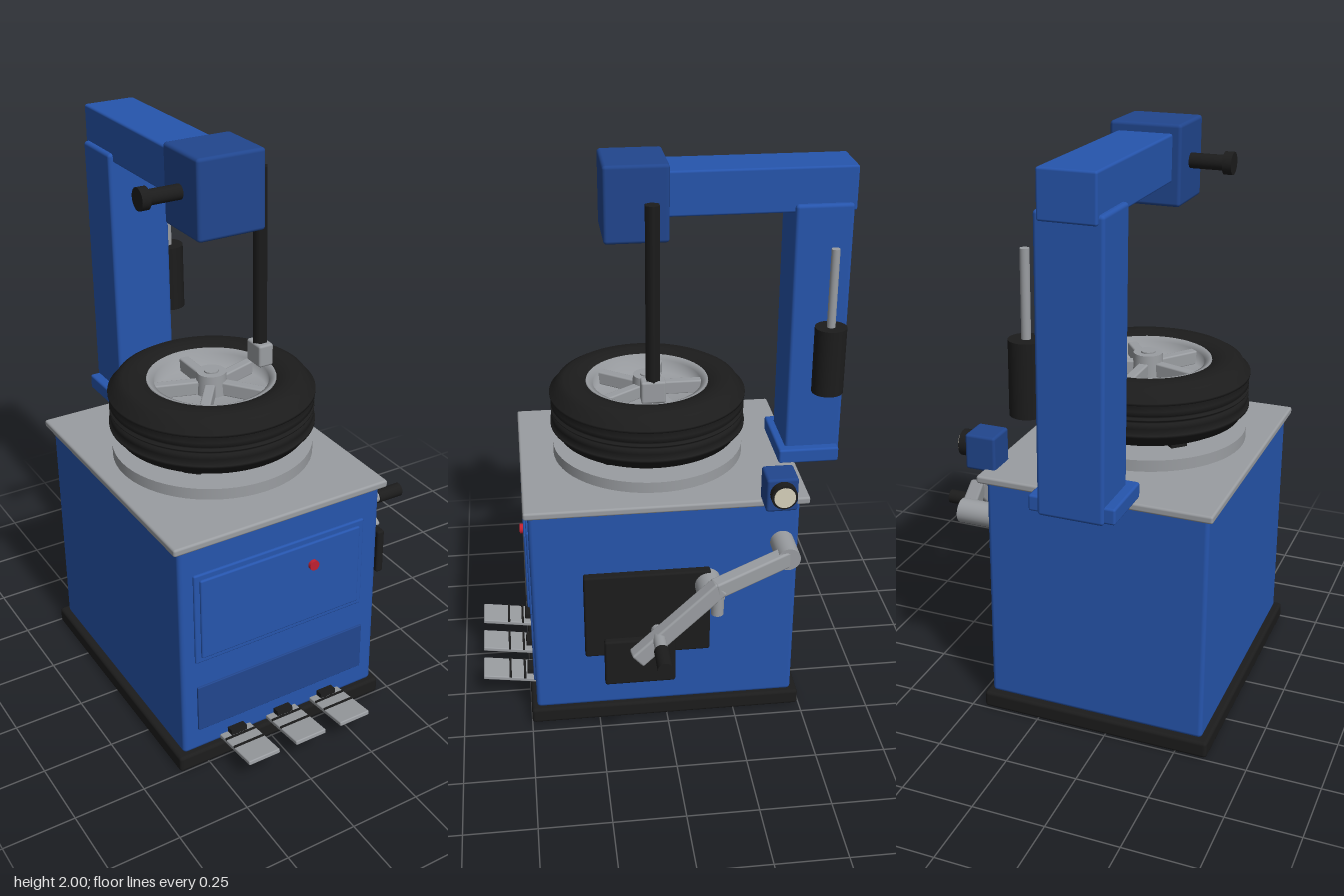
import * as THREE from 'three';
import { RoundedBoxGeometry } from 'three/addons/geometries/RoundedBoxGeometry.js';

const mat = (color, side = THREE.FrontSide) => new THREE.MeshStandardMaterial({ color, side });

export function createModel() {
  const root = new THREE.Group();
  const blue = mat(0x2655ad), deepBlue = mat(0x21468e), black = mat(0x1c1c1c);
  const steel = mat(0x9a9da1), red = mat(0xc02030), cream = mat(0xd8d2bc);
  const rubber = mat(0x1c1c1c, THREE.DoubleSide), rimSteel = mat(0x9a9da1, THREE.DoubleSide);

  const add = (name, geo, material, x = 0, y = 0, z = 0, parent = root) => {
    const m = new THREE.Mesh(geo, material);
    m.name = name;
    m.position.set(x, y, z);
    parent.add(m);
    return m;
  };
  // Box given by its extents, with slightly rounded edges
  const box = (name, material, [x0, x1], [y0, y1], [z0, z1], r = 0.008) =>
    add(name, new RoundedBoxGeometry(x1 - x0, y1 - y0, z1 - z0, 2, r), material,
      (x0 + x1) / 2, (y0 + y1) / 2, (z0 + z1) / 2);
  // Upright cylinder from y0 to y1
  const rod = (name, material, x, z, r, y0, y1, seg = 32) =>
    add(name, new THREE.CylinderGeometry(r, r, y1 - y0, seg), material, x, (y0 + y1) / 2, z);
  // Cylinder lying along x from x0 to x1
  const rodX = (name, material, y, z, r, x0, x1, seg = 32) => {
    const m = add(name, new THREE.CylinderGeometry(r, r, x1 - x0, seg), material, (x0 + x1) / 2, y, z);
    m.rotation.z = -Math.PI / 2;
    return m;
  };

  // Cabinet
  box('basePlinth', black, [-0.61, 0.205], [0, 0.06], [-0.495, 0.5], 0.012);
  box('cabinet', blue, [-0.585, 0.185], [0.055, 0.875], [-0.47, 0.48], 0.015);
  box('tableTop', steel, [-0.605, 0.207], [0.868, 0.895], [-0.5, 0.495]);
  box('upperPanelFrame', blue, [-0.535, 0.12], [0.422, 0.768], [0.47, 0.488], 0.006);
  box('upperPanel', blue, [-0.515, 0.1], [0.442, 0.748], [0.47, 0.496], 0.006);
  box('lowerPanel', deepBlue, [-0.53, 0.13], [0.14, 0.32], [0.47, 0.487], 0.003);
  const button = rod('button', red, -0.09, 0.497, 0.018, 0.652, 0.676);
  button.rotation.x = Math.PI / 2;

  // Foot pedals with grip strips
  for (const x of [-0.385, -0.2, -0.02]) {
    const pedal = new THREE.Group();
    pedal.name = 'pedal';
    pedal.position.set(x, 0.085, 0.575);
    pedal.rotation.x = -0.15;
    root.add(pedal);
    add('pedalPlate', new RoundedBoxGeometry(0.12, 0.016, 0.2, 2, 0.004), steel, 0, 0, 0, pedal);
    add('pedalStem', new THREE.BoxGeometry(0.06, 0.03, 0.05), black, 0, 0.012, -0.09, pedal);
    for (const z of [-0.055, 0])
      add('pedalGrip', new THREE.BoxGeometry(0.12, 0.006, 0.008), black, 0, 0.009, z, pedal);
  }

  // Turntable with clamps
  const cx = -0.2, cz = 0.025;
  rod('turntableShaft', steel, cx, cz, 0.12, 0.885, 0.92);
  rod('turntable', steel, cx, cz, 0.345, 0.915, 0.955, 64);
  rod('turntableHub', steel, cx, cz, 0.08, 0.95, 1.06);
  for (let i = 0; i < 4; i++) {
    const a = Math.PI / 4 + i * Math.PI / 2;
    const jaw = add('clampJaw', new RoundedBoxGeometry(0.07, 0.045, 0.06, 2, 0.005), black,
      cx + 0.22 * Math.cos(a), 0.972, cz + 0.22 * Math.sin(a));
    jaw.rotation.y = -a;
  }

  // Wheel: tyre, rim, spokes, hub
  const wheel = new THREE.Group();
  wheel.name = 'wheel';
  wheel.position.set(cx, 1.095, cz);
  root.add(wheel);
  const half = [[0.212, 0.085], [0.225, 0.1], [0.26, 0.11], [0.3, 0.108], [0.325, 0.094],
    [0.338, 0.07], [0.352, 0.06], [0.352, 0.052], [0.342, 0.048], [0.348, 0.03], [0.348, 0.016],
    [0.34, 0.012], [0.34, 0.006], [0.349, 0.002]];
  const tyreProfile = [...half.map(([r, y]) => [r, -y]), ...half.slice().reverse(), half[0].map((v, i) => i ? -v : v)];
  add('tyre', new THREE.LatheGeometry(tyreProfile.map(p => new THREE.Vector2(...p)), 72), rubber, 0, 0, 0, wheel);
  const rimProfile = [[0, -0.08], [0.19, -0.08], [0.22, -0.098], [0.222, -0.09], [0.205, -0.06],
    [0.205, 0.06], [0.222, 0.09], [0.218, 0.1], [0.195, 0.088], [0.19, 0.04], [0, 0.04]];
  add('rim', new THREE.LatheGeometry(rimProfile.map(p => new THREE.Vector2(...p)), 72), rimSteel, 0, 0, 0, wheel);
  for (let i = 0; i < 5; i++) {
    const spoke = new THREE.Group();
    spoke.name = 'spoke';
    spoke.rotation.y = Math.PI / 2 + i * Math.PI * 0.4;
    wheel.add(spoke);
    add('spokeBar', new RoundedBoxGeometry(0.18, 0.05, 0.036, 2, 0.006), steel, 0.115, 0.062, 0, spoke);
  }
  add('wheelHub', new THREE.CylinderGeometry(0.05, 0.055, 0.08, 32), steel, 0, 0.075, 0, wheel);
  add('hubBore', new THREE.CylinderGeometry(0.025, 0.025, 0.006, 24), steel, 0, 0.117, 0, wheel);

  // Column, overhead arm and head
  box('columnFoot', blue, [-0.345, -0.055], [0.89, 0.945], [-0.66, -0.44]);
  box('column', blue, [-0.31, -0.088], [0.883, 1.845], [-0.668, -0.467], 0.012);
  box('overheadArm', blue, [-0.293, -0.105], [1.815, 1.97], [-0.68, 0.0]);
  box('headBlock', deepBlue, [-0.322, -0.08], [1.735, 2.0], [-0.042, 0.18], 0.012);
  rodX('lockShaft', black, 1.87, 0.065, 0.025, -0.45, -0.31);
  rodX('lockKnob', black, 1.87, 0.065, 0.037, -0.467, -0.437);

  // Air cylinder beside the column
  rod('airCylinder', black, -0.03, -0.595, 0.056, 1.187, 1.43);
  rod('airCylinderRod', steel, -0.03, -0.595, 0.015, 1.43, 1.71, 20);

  // Hexagonal tool post
  rod('toolPost', black, -0.008, 0.025, 0.027, 1.25, 1.89, 6).rotation.y = Math.PI / 6;
  box('toolHead', steel, [-0.036, 0.02], [1.195, 1.275], [-0.018, 0.068]);

  // Pressure gauge on the side
  box('gaugeBox', deepBlue, [0.166, 0.275], [0.885, 1.01], [-0.44, -0.33], 0.01);
  rodX('gaugeHousing', black, 0.957, -0.386, 0.045, 0.27, 0.305);
  rodX('gaugeFace', cream, 0.957, -0.386, 0.037, 0.3, 0.31);

  // Bead breaker: side pad, pivot, bent arm, ram, handle and blade
  box('sidePad', black, [0.18, 0.216], [0.29, 0.626], [-0.155, 0.297]);
  rodX('armPivot', steel, 0.712, -0.41, 0.042, 0.18, 0.31);
  const pivot = new THREE.Vector3(0.285, 0.71, -0.41), elbow = new THREE.Vector3(0.385, 0.665, -0.15);
  const tip = new THREE.Vector3(0.425, 0.435, 0.125);
  for (const [a, b] of [[pivot, elbow], [elbow, tip]]) {
    const mid = a.clone().add(b).multiplyScalar(0.5);
    const link = add('breakerArm', new RoundedBoxGeometry(0.05, 0.062, a.distanceTo(b) + 0.025, 2, 0.008),
      steel, mid.x, mid.y, mid.z);
    link.lookAt(b);
  }
  rodX('ram', steel, 0.57, -0.145, 0.048, 0.18, 0.295);
  rodX('ramRod', steel, 0.575, -0.148, 0.015, 0.29, 0.39, 20);
  rod('elbowPin', steel, 0.388, -0.15, 0.022, 0.565, 0.68, 20);
  rodX('handleShaft', steel, 0.505, 0.055, 0.022, 0.375, 0.505);
  rodX('handleGrip', black, 0.505, 0.055, 0.026, 0.5, 0.605);
  box('breakerBlade', black, [0.375, 0.405], [0.305, 0.485], [-0.005, 0.24]);

  return root;
}
